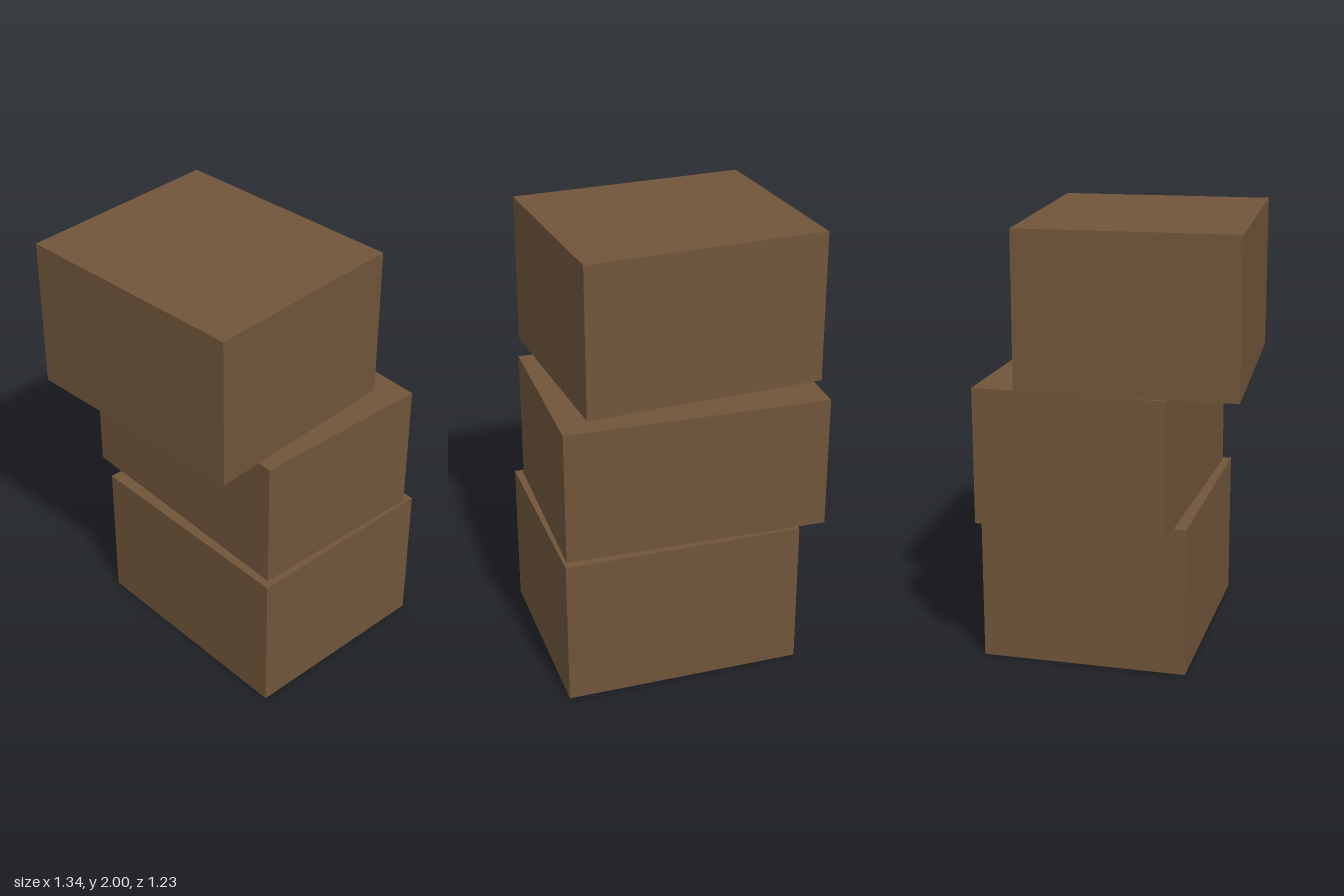
import * as THREE from 'three';

// Box standing on y = 0, closed on top and open underneath
function openBottomBox(w, h, d) {
  const geo = new THREE.BoxGeometry(w, h, d).translate(0, h / 2, 0);
  const index = Array.from(geo.index.array);
  index.splice(18, 6); // remove the bottom face
  geo.setIndex(index);
  geo.clearGroups();
  return geo;
}

export function createModel() {
  const model = new THREE.Group();
  model.name = 'boxStack';
  const cardboard = new THREE.MeshStandardMaterial({ color: 0x70553a, side: THREE.DoubleSide });
  cardboard.name = 'cardboardBrown';

  // Three loosely stacked boxes, each turned a little
  const boxes = [
    { name: 'bottomBox', size: [1.089, 0.685, 0.938], pos: [0.07, 0, -0.08], turn: -0.129 },
    { name: 'middleBox', size: [1.203, 0.615, 0.86], pos: [-0.01, 0.685, -0.1], turn: -0.151 },
    { name: 'topBox', size: [1.115, 0.7, 0.964], pos: [-0.084, 1.3, 0.096], turn: -0.065 },
  ];
  for (const { name, size, pos, turn } of boxes) {
    const box = new THREE.Mesh(openBottomBox(...size), cardboard);
    box.name = name;
    box.position.set(...pos);
    box.rotation.y = turn;
    model.add(box);
  }
  return model;
}
